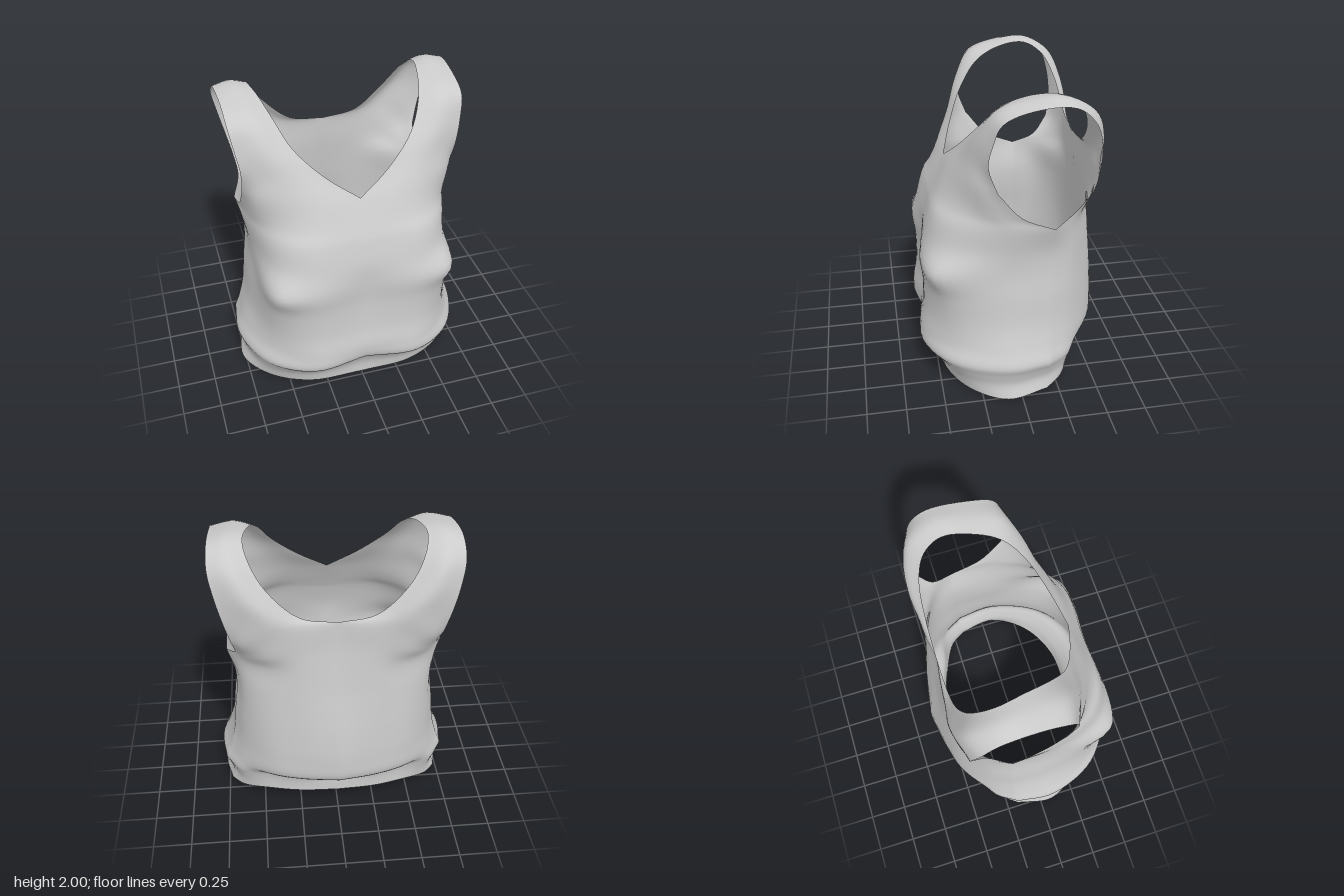
import * as THREE from 'three';
import { mergeGeometries, mergeVertices } from 'three/addons/utils/BufferGeometryUtils.js';

const V = (x, y, z) => new THREE.Vector3(x, y, z);
const ACROSS = 24; // steps from centre (or neck edge) to side
const STEPS = 5;   // steps between neighbouring sections

// Torso sections, hem to armpit:
// [y, side x, front centre z, bust z, corner x, corner z, back centre z, back mid z]
const TORSO = [
  [0.01, 0.77, 0.47, 0.455, 0.62, 0.32, -0.46, -0.44],
  [0.10, 0.745, 0.475, 0.48, 0.62, 0.35, -0.46, -0.44],
  [0.18, 0.76, 0.505, 0.535, 0.63, 0.39, -0.46, -0.445],
  [0.25, 0.78, 0.56, 0.6, 0.635, 0.43, -0.475, -0.46],
  [0.35, 0.74, 0.575, 0.595, 0.6, 0.42, -0.59, -0.55],
  [0.50, 0.69, 0.55, 0.57, 0.58, 0.42, -0.605, -0.56],
  [0.70, 0.665, 0.535, 0.57, 0.58, 0.45, -0.585, -0.55],
  [0.87, 0.645, 0.54, 0.59, 0.585, 0.525, -0.555, -0.535],
  [1.02, 0.645, 0.54, 0.545, 0.545, 0.43, -0.525, -0.52],
  [1.19, 0.66, 0.5, 0.495, 0.54, 0.37, -0.5, -0.505],
];

// Chest and shoulder-blade sections: points from centre to armhole edge
const CHEST = [
  [0, 1.29, 0.455, 0.3, 1.28, 0.455, 0.5, 1.28, 0.355, 0.63, 1.28, 0.19, 0.685, 1.28, 0],
  [0, 1.43, 0.385, 0.25, 1.43, 0.395, 0.45, 1.44, 0.345, 0.615, 1.45, 0.25, 0.685, 1.45, 0.145],
];
const BLADES = [
  [0, 1.53, -0.47, 0.25, 1.48, -0.5, 0.43, 1.43, -0.505, 0.57, 1.4, -0.475, 0.645, 1.4, -0.435],
  [0, 1.35, -0.48, 0.25, 1.33, -0.5, 0.44, 1.3, -0.485, 0.57, 1.28, -0.41, 0.63, 1.27, -0.34],
];

// Strap sections over the shoulder: neck edge, middle, armhole edge
const STRAP = [
  [0.2, 1.57, 0.315, 0.45, 1.59, 0.3, 0.69, 1.62, 0.2],
  [0.37, 1.74, 0.22, 0.53, 1.76, 0.235, 0.715, 1.77, 0.175],
  [0.46, 1.9, 0.09, 0.59, 1.92, 0.13, 0.735, 1.89, 0.125],
  [0.51, 1.975, -0.08, 0.62, 1.985, -0.07, 0.74, 1.96, -0.05],
  [0.54, 1.98, -0.25, 0.64, 1.998, -0.26, 0.75, 1.965, -0.29],
  [0.51, 1.9, -0.37, 0.62, 1.9, -0.43, 0.75, 1.87, -0.4],
  [0.42, 1.75, -0.44, 0.55, 1.75, -0.5, 0.72, 1.72, -0.45],
  [0.23, 1.57, -0.465, 0.43, 1.57, -0.52, 0.68, 1.55, -0.46],
];

const hemLift = (y) => 0.13 * Math.max(0, 1 - y / 0.3); // hem rises at the back
const seam = ([y, side]) =>
  V(side + (y > 1.1 ? 0.03 : -0.04 * Math.max(0, 1 - y / 0.55)), y + 0.2 * hemLift(y), -0.17 - 0.03 * y / 1.19);

const frontSection = (s) => {
  const [y, side, centre, bust, cx, cz] = s;
  return [V(0, y, centre), V(0.36, y, bust), V(cx, y, cz), V(side, y, 0.09), seam(s)];
};
const backSection = (s) => {
  const [y, side, , , , , centre, mid] = s, lift = hemLift(y);
  return [V(0, y + lift, centre), V(0.25, y + 0.95 * lift, mid), V(0.45, y + 0.75 * lift, mid + 0.065),
    V(0.595 + (side - 0.65) * 0.4, y + 0.45 * lift, -0.345 + 0.5 * lift), seam(s)];
};
const points = (p) => Array.from({ length: p.length / 3 }, (_, i) => V(...p.slice(3 * i, 3 * i + 3)));

// One half of the garment: a sheet from front hem, over the shoulder, to back hem
function halfSheet(mirror) {
  const sections = [...TORSO.map(frontSection), ...[...CHEST, ...STRAP, ...BLADES].map(points),
    ...[...TORSO].reverse().map(backSection)]
    .map((pts) => new THREE.CatmullRomCurve3(pts).getPoints(ACROSS));
  const last = sections.length - 1, rows = last * STEPS;

  // The sheet's edges turn sharply at the armpits and at the neckline points
  const armpit = TORSO.length - 1, neck = armpit + CHEST.length;
  const corners = [0, armpit, neck, last - neck, last - armpit, last];
  const columns = [];
  for (let i = 0; i <= ACROSS; i++) {
    const path = sections.map((s) => s[i]);
    const smooth = new THREE.CatmullRomCurve3(path).getPoints(rows);
    const edge = (2 * i / ACROSS - 1) ** 4;
    for (let k = 0; k < corners.length - 1; k++) {
      const from = corners[k], to = corners[k + 1];
      new THREE.CatmullRomCurve3(path.slice(from, to + 1)).getPoints((to - from) * STEPS)
        .forEach((p, j) => smooth[from * STEPS + j].lerp(p, edge));
    }
    columns.push(smooth);
  }
  // Close the side seam below the armhole
  const side = columns[ACROSS];
  for (let j = 0; j <= armpit * STEPS; j++) {
    side[j].lerp(side[rows - j], 0.5);
    side[rows - j].copy(side[j]);
  }
  const positions = [], index = [], w = ACROSS + 1;
  for (let j = 0; j <= rows; j++) {
    for (let i = 0; i <= ACROSS; i++) {
      const p = columns[i][j];
      positions.push(Math.max(0, p.x) * (mirror ? -1 : 1), Math.max(0, p.y), p.z);
      if (i === ACROSS || j === rows) continue;
      const a = j * w + i, b = a + 1, c = a + w, d = c + 1;
      if (mirror) index.push(a, d, b, a, c, d);
      else index.push(a, b, d, a, d, c);
    }
  }
  const geometry = new THREE.BufferGeometry();
  geometry.setAttribute('position', new THREE.Float32BufferAttribute(positions, 3));
  geometry.setIndex(index);
  return geometry;
}

export function createModel() {
  const group = new THREE.Group();
  group.name = 'tankTop';
  // Weld both halves so the shading runs smoothly across the seams
  const geometry = mergeVertices(mergeGeometries([halfSheet(false), halfSheet(true)]), 1e-4);
  geometry.computeVertexNormals();
  const fabric = new THREE.Mesh(geometry,
    new THREE.MeshStandardMaterial({ color: 0xcccccc, side: THREE.DoubleSide }));
  fabric.name = 'fabric';
  group.add(fabric);
  return group;
}
